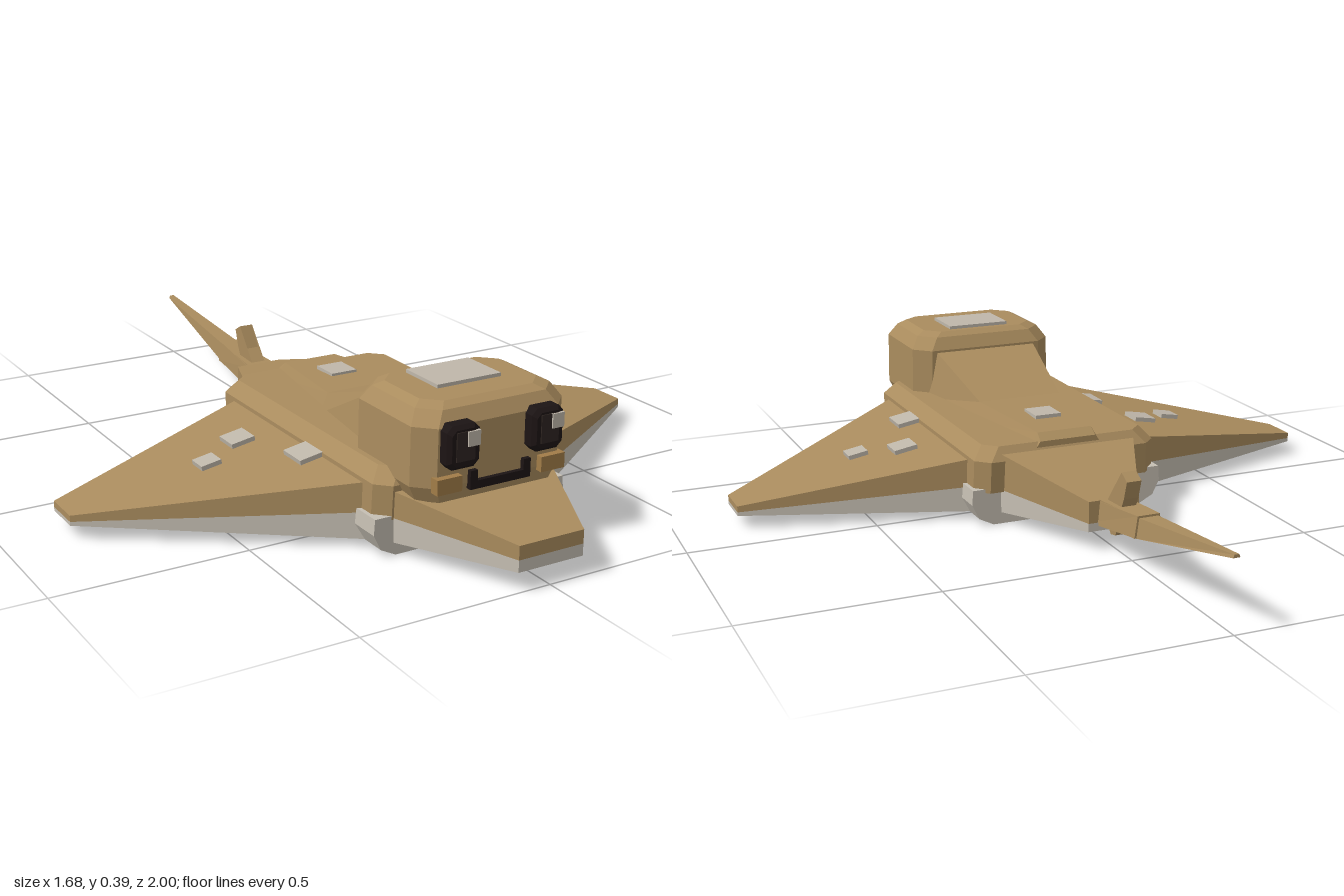
import * as THREE from 'three';

const material = (name, color) => {
  const m = new THREE.MeshStandardMaterial({ color });
  m.name = name;
  return m;
};

// Joins rings of [x, y, z] points into a closed, flat-faced solid.
function loft(rings) {
  const tris = [];
  const n = rings[0].length;
  for (let r = 0; r < rings.length - 1; r++) {
    for (let i = 0; i < n; i++) {
      const j = (i + 1) % n;
      const [a, b, c, d] = [rings[r][i], rings[r][j], rings[r + 1][j], rings[r + 1][i]];
      tris.push([a, b, c], [a, c, d]);
    }
  }
  const last = rings[rings.length - 1];
  for (let i = 1; i < n - 1; i++) {
    tris.push([rings[0][0], rings[0][i + 1], rings[0][i]], [last[0], last[i], last[i + 1]]);
  }
  // Turn the faces outward whichever way the rings run
  let volume = 0;
  const v = (p) => new THREE.Vector3(...p);
  for (const [a, b, c] of tris) volume += v(a).dot(v(b).cross(v(c)));
  const flat = tris.flatMap(([a, b, c]) => (volume < 0 ? [a, c, b] : [a, b, c])).flat();
  const g = new THREE.BufferGeometry();
  g.setAttribute('position', new THREE.Float32BufferAttribute(flat, 3));
  g.computeVertexNormals();
  return g;
}

// Rectangle with cut corners, as [u, v] pairs
const octagon = (u0, u1, v0, v1, c) => [
  [u1, v0 + c], [u1, v1 - c], [u1 - c, v1], [u0 + c, v1],
  [u0, v1 - c], [u0, v0 + c], [u0 + c, v0], [u1 - c, v0],
];
const levelRing = (y, hx, z0, z1, c) => octagon(-hx, hx, z0, z1, c).map(([x, z]) => [x, y, z]);
const faceRing = (z, cx, cy, hx, hy, c) =>
  octagon(cx - hx, cx + hx, cy - hy, cy + hy, c).map(([x, y]) => [x, y, z]);

// Layer over a plan outline of [x, z, bottom y, top y] corners
const layer = (corners) => loft([
  corners.map(([x, z, low]) => [x, low, z]),
  corners.map(([x, z, , high]) => [x, high, z]),
]);

// Four-sided section across the z axis
const section = (z, low, high, baseHalf, topHalf) => [
  [baseHalf, low, z], [topHalf, high, z], [-topHalf, high, z], [-baseHalf, low, z],
];

export function createModel() {
  const model = new THREE.Group();
  model.name = 'ray';
  const skin = material('skin brown', 0xaa8c5e);
  const pale = material('belly pale', 0xc6bfb3);
  const spotMat = material('spot pale', 0xbfb7aa);
  const dark = material('eye black', 0x1c1414);
  const iris = material('iris dark brown', 0x2e2421);
  const cheekMat = material('cheek tan', 0xa17c48);

  const add = (name, geometry, mat) => {
    const mesh = new THREE.Mesh(geometry, mat);
    mesh.name = name;
    model.add(mesh);
    return mesh;
  };
  const box = (name, mat, w, h, d, x, y, z) => {
    const mesh = add(name, new THREE.BoxGeometry(w, h, d), mat);
    mesh.position.set(x, y, z);
    return mesh;
  };

  // Body shell and belly
  add('body', loft([
    levelRing(0.09, 0.262, -0.125, 0.692, 0.035),
    levelRing(0.175, 0.26, -0.13, 0.695, 0.035),
    levelRing(0.21, 0.23, -0.105, 0.67, 0.035),
  ]), skin);
  const bellySection = (z) => [
    [0.215, 0, z], [0.255, 0.02, z], [0.275, 0.06, z], [0.272, 0.1, z],
    [-0.272, 0.1, z], [-0.275, 0.06, z], [-0.255, 0.02, z], [-0.215, 0, z],
  ];
  add('belly', loft([bellySection(-0.115), bellySection(0.692)]), pale);

  // Head block and sloping back
  add('head', loft([
    levelRing(0.15, 0.195, 0.49, 0.78, 0.04),
    levelRing(0.19, 0.215, 0.475, 0.79, 0.045),
    levelRing(0.335, 0.213, 0.475, 0.79, 0.045),
    levelRing(0.37, 0.19, 0.495, 0.77, 0.045),
    levelRing(0.382, 0.165, 0.515, 0.745, 0.04),
  ]), skin);
  add('back', loft([
    section(0.5, 0.19, 0.337, 0.185, 0.155),
    section(0.215, 0.19, 0.242, 0.145, 0.122),
    section(-0.09, 0.19, 0.23, 0.097, 0.078),
    section(-0.115, 0.19, 0.212, 0.095, 0.08),
  ]), skin);

  // Snout and rear wedges, each a brown layer over a pale one
  const wedge = (name, z0, half0, z1, half1, ys0, ys1) => {
    [[skin, 1], [pale, 0]].forEach(([mat, k]) => {
      const near = [z0, ys0[k], ys0[k + 1]];
      const far = [z1, ys1[k], ys1[k + 1]];
      add(name + (k ? 'Top' : 'Underside'), layer([
        [-half0, ...near], [half0, ...near], [half1, ...far], [-half1, ...far],
      ]), mat);
    });
  };
  wedge('snout', 0.66, 0.235, 1, 0.09, [0.03, 0.095, 0.165], [0.05, 0.08, 0.115]);
  wedge('rear', -0.1, 0.2, -0.395, 0.07, [0.03, 0.095, 0.195], [0.05, 0.072, 0.13]);

  // Wings with their spots
  for (const s of [1, -1]) {
    const wing = (ys, tip) => layer([
      [s * 0.24, -0.05, ...ys], [s * 0.84, 0.125, ...tip],
      [s * 0.84, 0.23, ...tip], [s * 0.24, 0.63, ...ys],
    ]);
    add('wingTop', wing([0.09, 0.168], [0.045, 0.061]), skin);
    add('wingUnderside', wing([0.02, 0.09], [0.035, 0.045]), pale);
    for (const [x, z, w, d] of [[0.365, 0.18, 0.065, 0.07], [0.48, 0.24, 0.055, 0.055], [0.288, 0.385, 0.065, 0.085]]) {
      const y = 0.168 - (x - 0.24) * 0.178;
      box('wingSpot', spotMat, w, 0.018, d, s * x, y + 0.003, z).rotation.z = -s * 0.176;
    }
  }
  box('headSpot', spotMat, 0.18, 0.016, 0.135, 0, 0.383, 0.6);
  box('backSpot', spotMat, 0.075, 0.016, 0.08, 0, 0.236, 0.055);

  // Tail whip with a thicker base
  add('tail', loft([
    section(-0.37, 0.06, 0.13, 0.045, 0.04),
    section(-0.58, 0.09, 0.142, 0.033, 0.026),
    section(-1, 0.183, 0.191, 0.009, 0.006),
  ]), skin);
  add('tailBase', loft([
    section(-0.38, 0.07, 0.125, 0.045, 0.04),
    section(-0.585, 0.092, 0.148, 0.038, 0.03),
  ]), skin);

  // Barbs above and below the tail
  const barb = (name, half, points) => add(name, loft([-half, half].map(
    (x) => points.map(([z, y]) => [x, y, z]))), skin);
  barb('upperBarb', 0.02, [[-0.39, 0.12], [-0.44, 0.165], [-0.475, 0.225], [-0.505, 0.208], [-0.49, 0.16], [-0.47, 0.12]]);
  barb('lowerBarb', 0.025, [[-0.385, 0.09], [-0.43, 0.05], [-0.455, 0.055], [-0.48, 0.1]]);

  // Eyes with glints, and cheeks
  for (const s of [1, -1]) {
    const x = s * 0.118;
    add('eye', loft([
      faceRing(0.785, x, 0.293, 0.045, 0.053, 0.015),
      faceRing(0.815, x, 0.293, 0.045, 0.053, 0.015),
      faceRing(0.825, x, 0.293, 0.036, 0.044, 0.012),
    ]), dark);
    box('iris', iris, 0.05, 0.07, 0.006, x, 0.297, 0.825);
    box('glint', spotMat, 0.033, 0.036, 0.008, x + 0.02, 0.314, 0.828);
    box('cheek', cheekMat, 0.068, 0.038, 0.026, s * 0.146, 0.2, 0.795);
    box('mouthCorner', dark, 0.02, 0.045, 0.024, s * 0.075, 0.199, 0.79);
  }
  box('mouth', dark, 0.17, 0.02, 0.024, 0, 0.185, 0.79);

  return model;
}
